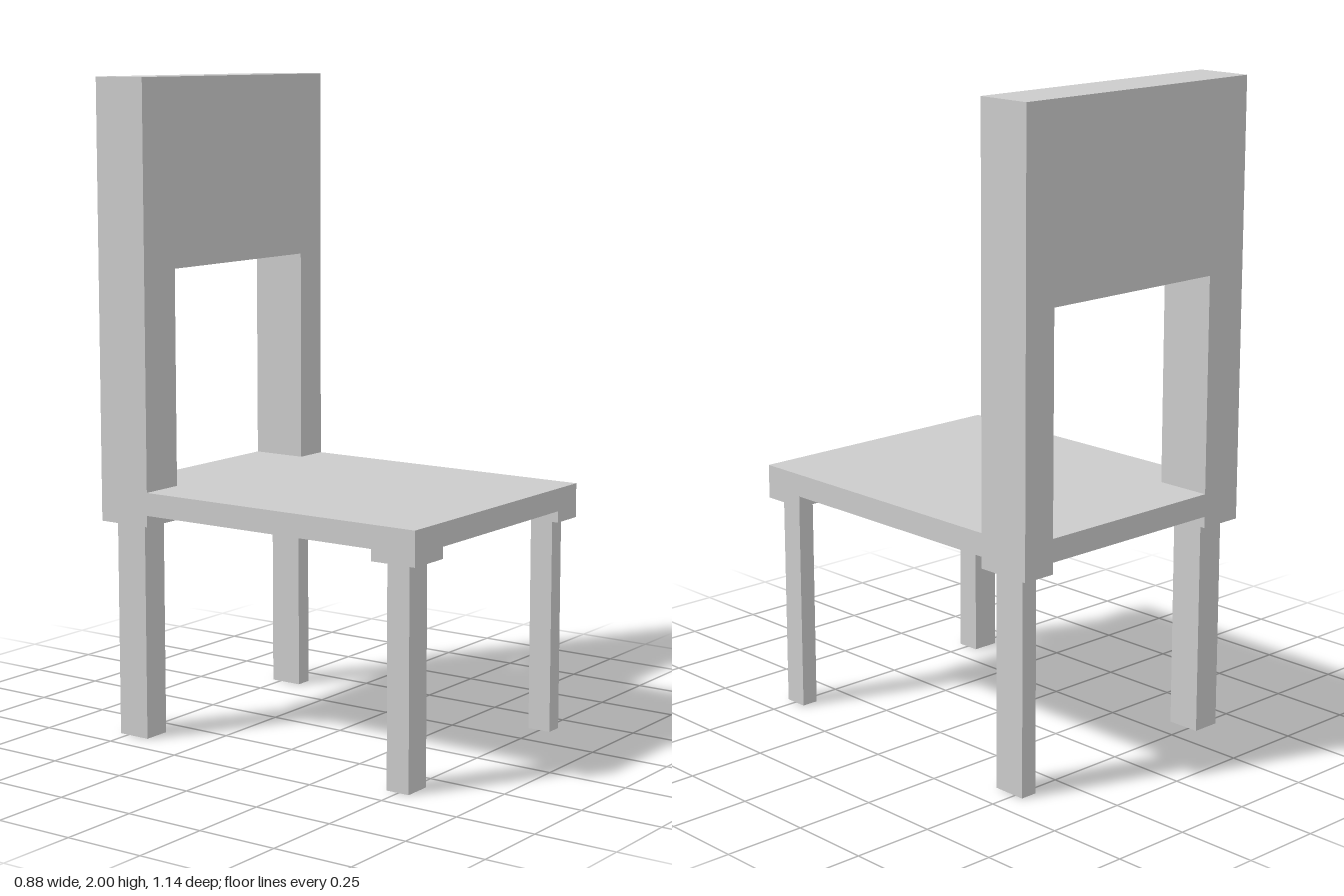
import * as THREE from 'three';

const material = new THREE.MeshStandardMaterial({ color: 0xcccccc, flatShading: true });

// Outer extents and shared levels
const HALF_W = 0.442, HALF_D = 0.57;
const SEAT_TOP = 0.77, SEAT_BOTTOM = 0.70, BLOCK_BOTTOM = 0.665, RAIL_BOTTOM = 1.43, TOP = 2;
const BACK_FRONT = -0.393;

// Box given by its minimum and maximum along each axis
function box(name, [x0, x1], [y0, y1], [z0, z1]) {
  const geometry = new THREE.BoxGeometry(x1 - x0, y1 - y0, z1 - z0);
  geometry.translate((x0 + x1) / 2, (y0 + y1) / 2, (z0 + z1) / 2);
  const mesh = new THREE.Mesh(geometry, material);
  mesh.name = name;
  return mesh;
}

// Backrest: two posts of unequal width joined by a tall top panel
function backrest(innerRight, innerLeft) {
  const shape = new THREE.Shape([
    [-HALF_W, SEAT_TOP], [innerRight, SEAT_TOP], [innerRight, RAIL_BOTTOM],
    [innerLeft, RAIL_BOTTOM], [innerLeft, SEAT_TOP], [HALF_W, SEAT_TOP],
    [HALF_W, TOP], [-HALF_W, TOP],
  ].map(([x, y]) => new THREE.Vector2(x, y)));
  const geometry = new THREE.ExtrudeGeometry(shape, { depth: BACK_FRONT + HALF_D, bevelEnabled: false });
  geometry.translate(0, 0, -HALF_D);
  const mesh = new THREE.Mesh(geometry, material);
  mesh.name = 'backrest';
  return mesh;
}

export function createModel() {
  const group = new THREE.Group();
  group.name = 'chair';

  group.add(box('seat', [-HALF_W, HALF_W], [SEAT_BOTTOM, SEAT_TOP], [-HALF_D, HALF_D]));
  group.add(backrest(-0.30, 0.334));

  // Legs and corner blocks: the right side is wider, the back deeper
  const sides = [
    { name: 'Right', block: [-HALF_W, -0.30], leg: [-0.416, -0.327] },
    { name: 'Left', block: [0.334, HALF_W], leg: [0.36, 0.413] },
  ];
  const rows = [
    { name: 'front', block: [0.423, HALF_D], leg: [0.46, 0.535] },
    { name: 'back', block: [-HALF_D, BACK_FRONT], leg: [-0.53, -0.424] },
  ];
  for (const row of rows) {
    for (const side of sides) {
      const name = row.name + side.name;
      group.add(box(name + 'CornerBlock', side.block, [BLOCK_BOTTOM, SEAT_BOTTOM], row.block));
      group.add(box(name + 'Leg', side.leg, [0, BLOCK_BOTTOM], row.leg));
    }
  }
  return group;
}
